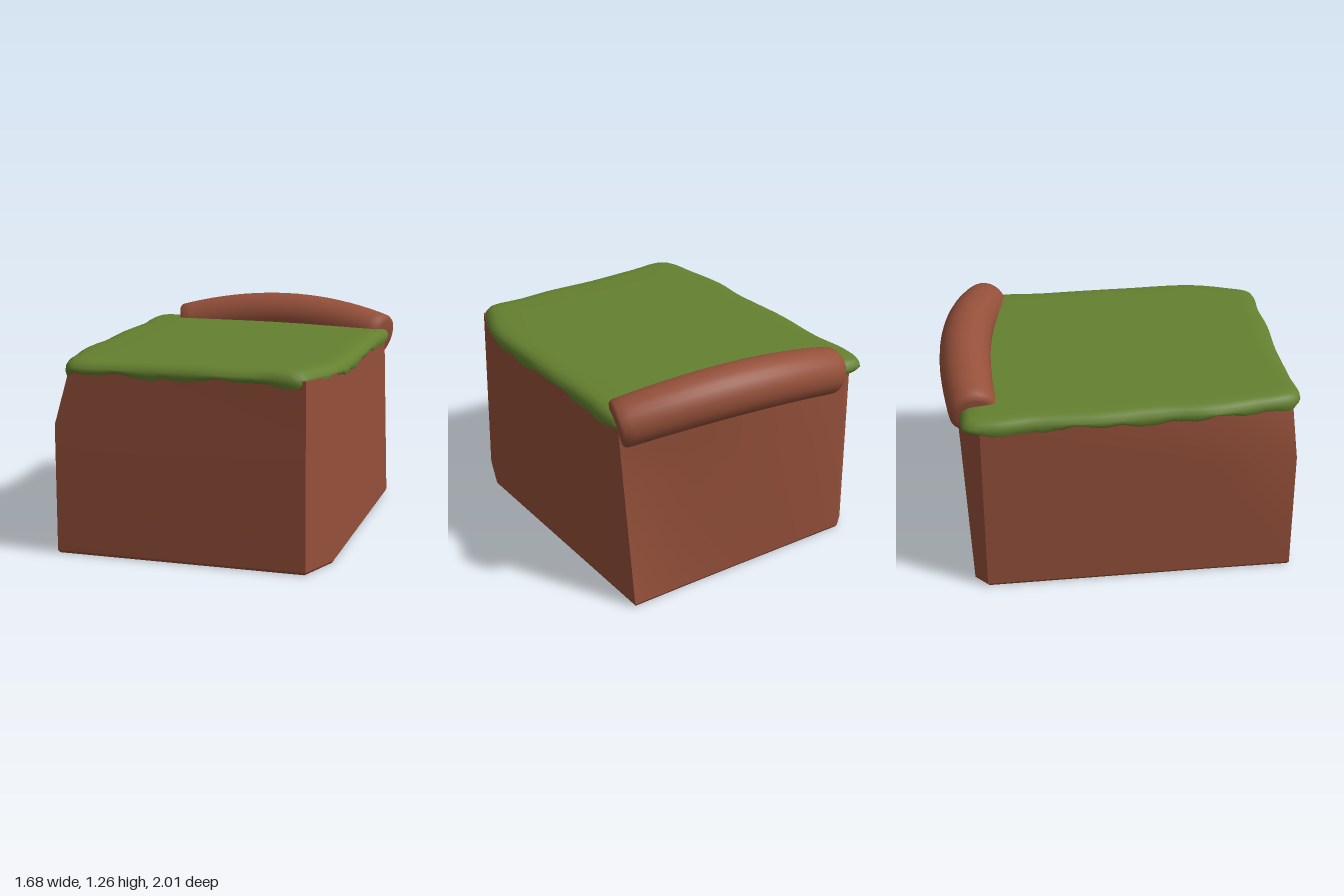
import * as THREE from 'three';
import { toCreasedNormals } from 'three/addons/utils/BufferGeometryUtils.js';

// Skin a stack of equal-length closed rings and cap both ends with fans
function loft(rings, crease) {
  const n = rings[0].length, pos = [], idx = [];
  rings.forEach(r => r.forEach(p => pos.push(p.x, p.y, p.z)));
  for (let k = 0; k < rings.length - 1; k++) {
    for (let i = 0; i < n; i++) {
      const a = k * n + i, b = k * n + (i + 1) % n;
      idx.push(a, b, a + n, b, b + n, a + n);
    }
  }
  [0, rings.length - 1].forEach((k, end) => {
    const c = new THREE.Vector3();
    rings[k].forEach(p => c.addScaledVector(p, 1 / n));
    const ci = pos.length / 3;
    pos.push(c.x, c.y, c.z);
    for (let i = 0; i < n; i++) {
      const a = k * n + i, b = k * n + (i + 1) % n;
      if (end) idx.push(ci, a, b); else idx.push(ci, b, a);
    }
  });
  const g = new THREE.BufferGeometry();
  g.setAttribute('position', new THREE.Float32BufferAttribute(pos, 3));
  g.setIndex(idx);
  return toCreasedNormals(g, crease);
}

// Move a ring of points towards the middle and set its height
const inset = (ring, d, y) => ring.map((p, i) => {
  const l = Math.hypot(p.x, p.z), s = (l - d) / l;
  return new THREE.Vector3(p.x * s, typeof y === 'function' ? y(i) : y, p.z * s);
});

export function createModel() {
  const model = new THREE.Group();
  const clay = new THREE.MeshStandardMaterial({ color: 0x95503a });
  clay.name = 'reddish brown';
  const moss = new THREE.MeshStandardMaterial({ color: 0x64802f });
  moss.name = 'moss green';
  const add = (name, geometry, material) => {
    const mesh = new THREE.Mesh(geometry, material);
    mesh.name = name;
    model.add(mesh);
  };

  // Block: skewed footprint, narrower at the top back and front right corners
  const foot = [[-0.65, 0.99], [0.76, 0.86], [0.83, 0.6], [0.68, -0.96], [0.35, -0.925],
    [0, -0.89], [-0.4, -0.85], [-0.74, -0.815], [-0.81, -0.74], [-0.695, 0.5]];
  const top = [[-0.57, 0.96], [0.75, 0.855], [0.825, 0.58], [0.69, -0.8], [0.35, -0.92],
    [0, -0.94], [-0.4, -0.9], [-0.73, -0.82], [-0.81, -0.74], [-0.69, 0.5]];
  const ringAt = (y, t) => foot.map(([x, z], i) => {
    const u = i === 0 ? Math.max(0, (y - 0.73) / 0.31) : t; // this corner bends only near the top
    return new THREE.Vector3(x + (top[i][0] - x) * u, y, z + (top[i][1] - z) * u);
  });
  const base = ringAt(0.015, 0);
  add('block', loft([inset(base, 0.012, 0), base, ringAt(0.73, 0.7), ringAt(1.045, 1)], 0.45), clay);

  // Moss cover: wavy outline with a ragged hem
  const outline = [[-0.56, 0.99], [-0.3, 0.97], [0, 0.935], [0.3, 0.92], [0.5, 0.89], [0.72, 0.865],
    [0.78, 0.73], [0.83, 0.5], [0.8, 0.1], [0.77, -0.2], [0.74, -0.45], [0.72, -0.76], [0.68, -0.85],
    [0.3, -0.92], [0, -0.94], [-0.4, -0.91], [-0.66, -0.85], [-0.82, -0.82], [-0.84, -0.68],
    [-0.8, -0.45], [-0.78, -0.1], [-0.72, 0.3], [-0.71, 0.5], [-0.65, 0.75]];
  const curve = new THREE.CatmullRomCurve3(
    outline.map(([x, z]) => new THREE.Vector3(x, 1.055, z)), true);
  const rim = curve.getSpacedPoints(180).slice(0, 180);
  let seed = 7;
  const rand = () => (seed = (seed * 16807) % 2147483647) / 2147483647;
  const hem = rim.map((p, i) =>
    1.017 + 0.01 * Math.sin(i * 0.31) + 0.007 * Math.sin(i * 0.83 + 1) + 0.01 * (rand() - 0.5));
  add('mossCover', loft([
    inset(rim, 0.09, 1.03), inset(rim, 0.006, i => hem[i]), inset(rim, -0.004, i => 1.035 + (hem[i] - 1.017) * 0.5),
    rim, inset(rim, 0.02, 1.08), inset(rim, 0.055, 1.093), inset(rim, 0.12, 1.096),
    inset(rim, 0.4, 1.096),
  ], 1.2), moss);

  // Bolster: bowed roll along the back edge with softened ends
  const path = new THREE.QuadraticBezierCurve3(
    new THREE.Vector3(-0.65, 1.035, -0.775),
    new THREE.Vector3(0.02, 1.2, -0.935),
    new THREE.Vector3(0.69, 1.035, -0.775));
  const stations = [[0, 0.1], [0.004, 0.122], [0.015, 0.132]];
  for (let k = 1; k < 20; k++) stations.push([k / 20, 0.133 + 0.012 * Math.sin(Math.PI * k / 20)]);
  stations.push([0.985, 0.132], [0.996, 0.122], [1, 0.1]);
  const roll = stations.map(([t, r]) => {
    const c = path.getPoint(t), axis = path.getTangent(t);
    const side = axis.clone().cross(new THREE.Vector3(0, 1, 0)).normalize();
    const up = side.clone().cross(axis);
    return Array.from({ length: 28 }, (_, i) => {
      const a = i / 28 * Math.PI * 2;
      return c.clone().addScaledVector(up, r * Math.cos(a)).addScaledVector(side, r * Math.sin(a));
    });
  });
  add('bolster', loft(roll, 0.9), clay);
  return model;
}
